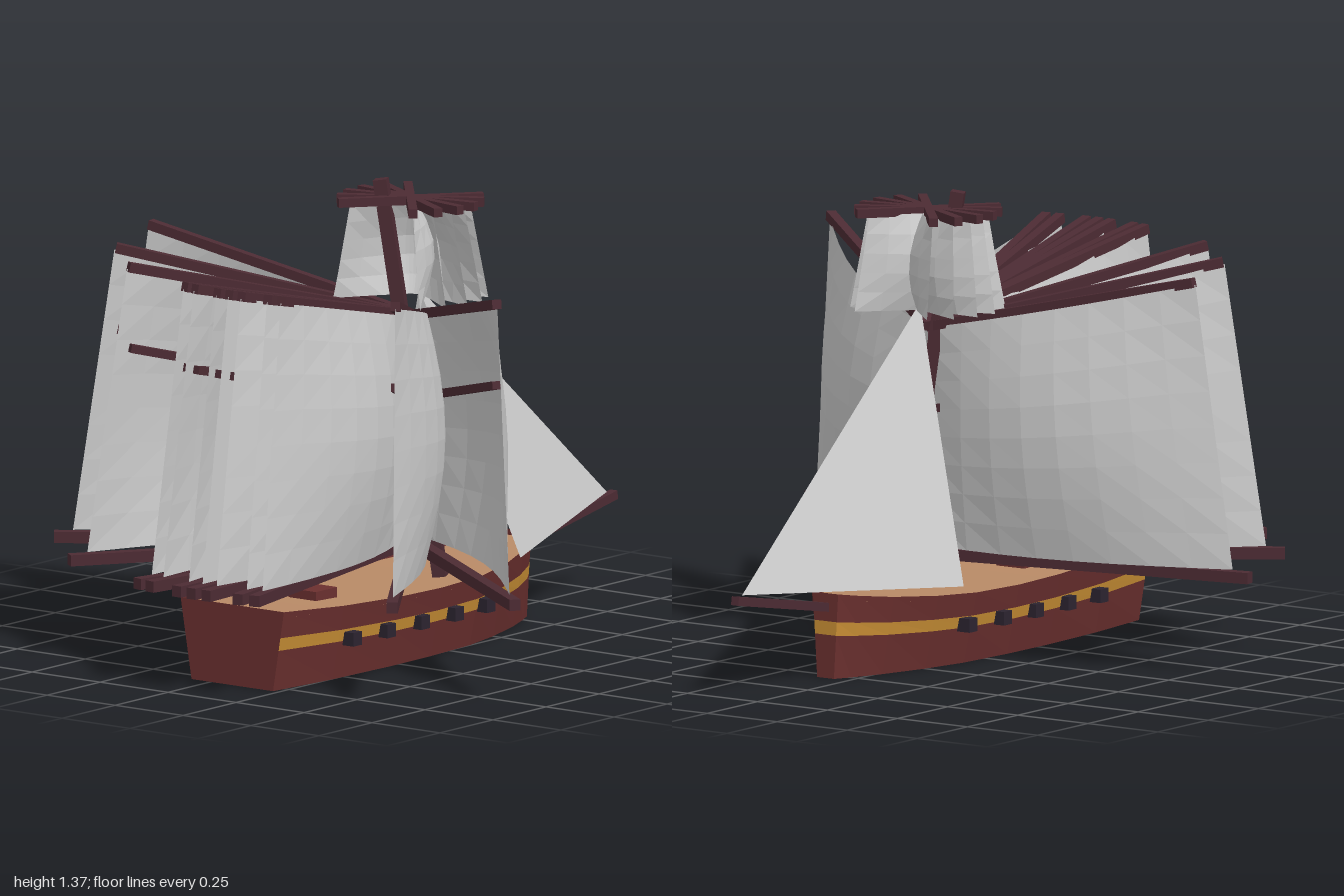
import * as THREE from 'three';

const mat = (color) => new THREE.MeshStandardMaterial({ color, flatShading: true, side: THREE.DoubleSide });
const wood = mat(0x6b302f), spar = mat(0x4c2b33), gold = mat(0xc98f35), tan = mat(0xb88a66);
const dark = mat(0x2c2430), cloth = mat(0xcccccc);

// Half hull sections, stern to bow: z, half width at keel, half width at rail, rail height
const SECTIONS = [
  [0.8, 0.15, 0.19, 0.238], [0.55, 0.175, 0.216, 0.222], [0.3, 0.185, 0.228, 0.212], [0.1, 0.183, 0.226, 0.208],
  [-0.1, 0.17, 0.216, 0.211], [-0.25, 0.14, 0.187, 0.219], [-0.4, 0.095, 0.135, 0.231],
  [-0.5, 0.055, 0.085, 0.243], [-0.55, 0.03, 0.045, 0.25],
];

function add(parent, name, geometry, material) {
  const mesh = new THREE.Mesh(geometry, material);
  mesh.name = name;
  parent.add(mesh);
  return mesh;
}

// Grid surface: fn(u, v) returns [x, y, z]
function surface(nu, nv, fn) {
  const pos = [], idx = [];
  for (let j = 0; j <= nv; j++)
    for (let i = 0; i <= nu; i++) pos.push(...fn(i / nu, j / nv));
  for (let j = 0; j < nv; j++)
    for (let i = 0; i < nu; i++) {
      const a = j * (nu + 1) + i, b = a + nu + 1;
      idx.push(a, a + 1, b, a + 1, b + 1, b);
    }
  const g = new THREE.BufferGeometry();
  g.setAttribute('position', new THREE.Float32BufferAttribute(pos, 3));
  g.setIndex(idx);
  g.computeVertexNormals();
  return g;
}

// Square beam between two points
function beam(parent, name, a, b, t) {
  const p = new THREE.Vector3(...a), q = new THREE.Vector3(...b);
  const mesh = add(parent, name, new THREE.BoxGeometry(t, t, p.distanceTo(q)), spar);
  mesh.position.copy(p).add(q).multiplyScalar(0.5);
  mesh.lookAt(q);
  return mesh;
}

// Point on a section at a share h of the rail height
const hullPoint = ([z, low, high, rail], h, side) => [side * (low + (high - low) * h), rail * h, z];

function makeHull() {
  const hull = new THREE.Group();
  hull.name = 'hull';
  // one outline running up one side, round the bow and back down the other
  const loop = [...SECTIONS.map((s) => [s, 1]), ...[...SECTIONS].reverse().map((s) => [s, -1])];
  loop.push(loop[0]);
  const n = loop.length - 1;
  const band = (h0, h1, count) => surface(count, 1, (u, v) => {
    const [s, side] = loop[Math.round(u * count)];
    return hullPoint(s, v ? h1 : h0, side);
  });
  add(hull, 'lowerPlanking', band(0, 0.51, n - 1), wood);
  add(hull, 'paintedStripe', band(0.51, 0.67, n - 1), gold);
  add(hull, 'upperPlanking', band(0.67, 1, n - 1), wood);
  const last = SECTIONS.length - 1;
  add(hull, 'transom', surface(1, 1, (u, v) => hullPoint(SECTIONS[0], v, u * 2 - 1)), wood);
  add(hull, 'deck', surface(1, last, (u, v) => hullPoint(SECTIONS[Math.round(v * last)], 0.93, u * 2 - 1)), tan);
  add(hull, 'hatch', new THREE.BoxGeometry(0.1, 0.04, 0.1), wood).position.set(0, 0.21, 0.42);
  // gun ports on both sides
  for (const side of [-1, 1])
    for (let i = 0; i < 5; i++)
      add(hull, 'gunPort', new THREE.BoxGeometry(0.05, 0.04, 0.04), dark)
        .position.set(side * (i === 4 ? 0.202 : 0.21), 0.12, 0.51 - 0.16 * i);
  beam(hull, 'bowsprit', [0, 0.2, -0.5], [0, 0.288, -1], 0.026);
  return hull;
}

// Fore-and-aft sail with boom, gaff and middle spar, turned about the mast
function makeSwingSail(degrees) {
  const g = new THREE.Group();
  g.name = 'swingSail';
  const bulge = 0.125 * Math.sign(degrees);
  beam(g, 'boom', [0, 0.3, 0], [0, 0.3, 1.035], 0.033);
  beam(g, 'gaff', [0, 0.965, 0], [0, 1.155, 0.855], 0.028);
  beam(g, 'middleSpar', [0, 0.72, 0], [0, 0.915, 0.85], 0.024);
  add(g, 'sail', surface(8, 8, (u, v) => {
    const r = 0.02 + u * (0.96 - 0.12 * v);
    const top = 0.96 + 0.22 * Math.min(r, 0.86);
    const belly = Math.sin(Math.PI * Math.pow(u, 0.9)) * (0.55 + 0.45 * Math.sin(Math.PI * v));
    return [bulge * belly, 0.32 + (top - 0.32) * v, r];
  }), cloth);
  g.rotation.y = THREE.MathUtils.degToRad(degrees);
  return g;
}

// Square topsail hanging from a yard that crosses the mast
function makeTopsail(degrees) {
  const g = new THREE.Group();
  g.name = 'topsail';
  beam(g, 'topYard', [-0.215, 1.305, 0], [0.215, 1.305, 0], 0.026);
  add(g, 'topsailCloth', surface(6, 5, (u, v) => {
    const half = 0.225 - 0.05 * v;
    const belly = 0.06 * Math.sin(Math.PI * u) * (0.3 + 0.7 * Math.sin(Math.PI * v));
    return [(u * 2 - 1) * half, 1.02 + 0.28 * v, -0.02 * (1 - v) - belly];
  }), cloth);
  g.rotation.y = THREE.MathUtils.degToRad(degrees);
  return g;
}

export function createModel() {
  const ship = new THREE.Group();
  ship.name = 'sailingShip';
  const body = new THREE.Group();
  body.name = 'shipBody';
  body.position.x = 0.08;
  ship.add(body);
  body.add(makeHull());

  const rig = new THREE.Group();
  rig.name = 'rig';
  rig.position.z = -0.04;
  body.add(rig);
  beam(rig, 'mast', [0, 0.19, 0], [0, 1.37, 0], 0.04);
  for (const a of [-80, -55, -35, -12, -9, -3, 0, 3, 9, 12, 35, 55]) rig.add(makeSwingSail(a));
  for (const a of [10, 30, 50]) rig.add(makeTopsail(a), makeTopsail(-a));

  // Pair of triangular head sails sharing one leading edge
  for (const side of [-1, 1]) {
    const jib = new THREE.BufferGeometry();
    jib.setAttribute('position', new THREE.Float32BufferAttribute(
      [0, 1.04, -0.08, 0, 0.3, -0.965, side * 0.26, 0.25, -0.225], 3));
    jib.computeVertexNormals();
    add(body, 'jib', jib, cloth);
  }
  return ship;
}
